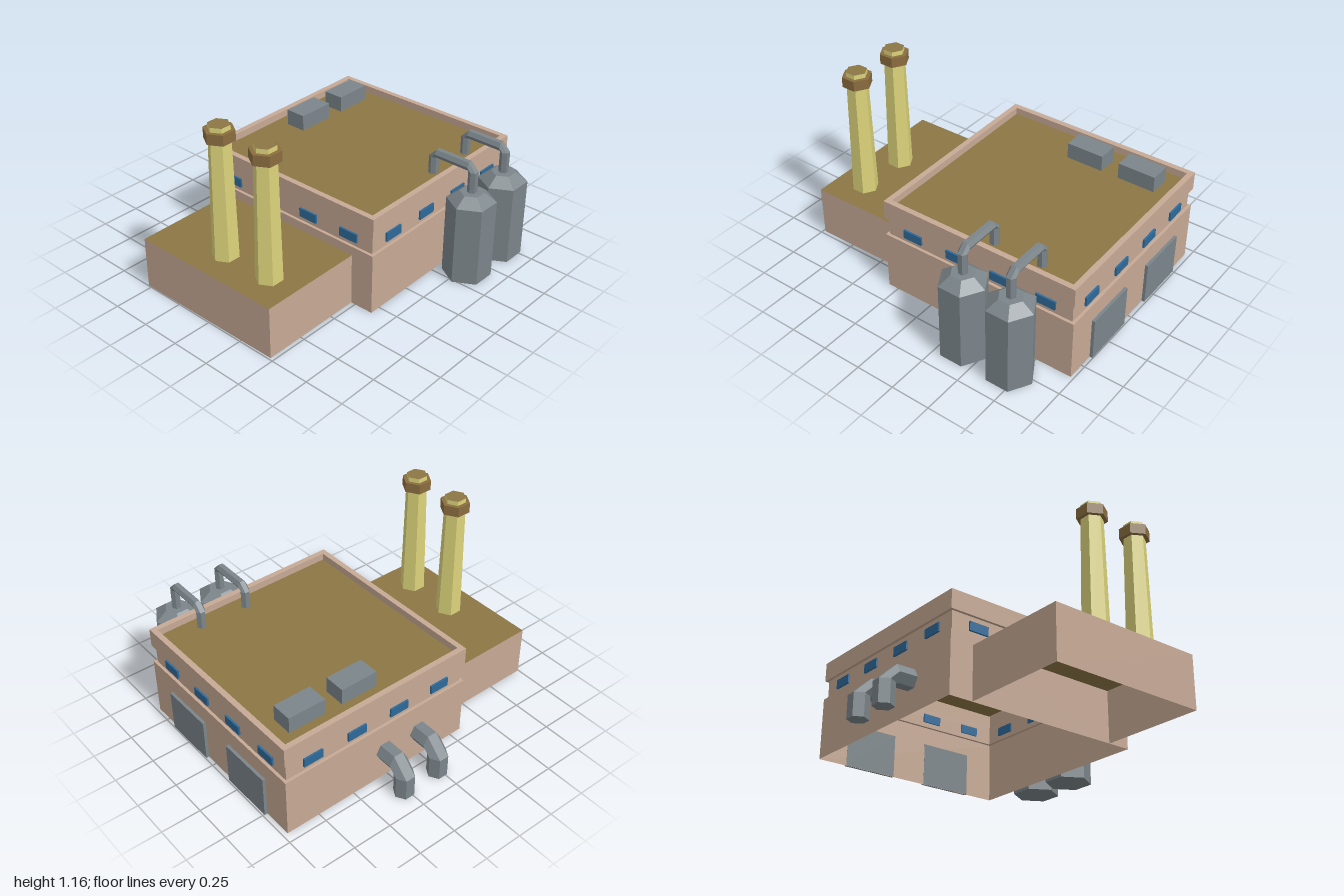
import * as THREE from 'three';

const mat = (color) => new THREE.MeshStandardMaterial({ color, flatShading: true, side: THREE.DoubleSide });
const WALL = mat(0xc6a995), ROOF = mat(0x8c7644), STEEL = mat(0x7b858a),
  GLASS = mat(0x2e6a9a), STACK = mat(0xdbd37a), BAND = mat(0x8a6d3f);

function add(parent, name, geometry, material, x = 0, y = 0, z = 0) {
  const mesh = new THREE.Mesh(geometry, material);
  mesh.name = name;
  mesh.position.set(x, y, z);
  parent.add(mesh);
  return mesh;
}

// Horizontal sheet facing up
const sheet = (w, d) => new THREE.PlaneGeometry(w, d).rotateX(-Math.PI / 2);

// Hexagonal pipe in the xy plane; each ring is [x, y, direction angle]
function hexPipe(rings, r) {
  const pos = [], index = [];
  for (const [x, y, a] of rings) {
    for (let i = 0; i < 6; i++) {
      const n = r * Math.sin(i * Math.PI / 3);
      pos.push(x - Math.sin(a) * n, y + Math.cos(a) * n, r * Math.cos(i * Math.PI / 3));
    }
  }
  const last = (rings.length - 1) * 6;
  for (let k = 0; k < last; k += 6) {
    for (let i = 0; i < 6; i++) {
      const j = (i + 1) % 6;
      index.push(k + i, k + 6 + i, k + j, k + j, k + 6 + i, k + 6 + j);
    }
  }
  for (let i = 1; i < 5; i++) {
    index.push(0, i, i + 1, last, last + i + 1, last + i);
  }
  const g = new THREE.BufferGeometry();
  g.setAttribute('position', new THREE.Float32BufferAttribute(pos, 3));
  g.setIndex(index);
  const flat = g.toNonIndexed();
  flat.computeVertexNormals();
  return flat;
}

function createBuilding() {
  const g = new THREE.Group();
  g.name = 'building';

  // Main hall walls: square sweep with recessed window strip and parapet
  const profile = [[0.65, 0], [0.65, 0.385], [0.632, 0.385], [0.632, 0.505],
    [0.65, 0.505], [0.65, 0.625], [0.615, 0.625], [0.615, 0.58]]
    .map(([x, y]) => new THREE.Vector2(x * Math.SQRT2, y));
  const walls = new THREE.LatheGeometry(profile, 4).rotateY(Math.PI / 4).toNonIndexed();
  walls.computeVertexNormals();
  add(g, 'hallWalls', walls, WALL);
  add(g, 'hallRoof', sheet(1.23, 1.23), ROOF, 0, 0.58, 0);

  // Four windows on each side
  for (let side = 0; side < 4; side++) {
    const row = new THREE.Group();
    row.name = 'windowRow';
    row.rotation.y = side * Math.PI / 2;
    for (let i = 0; i < 4; i++) {
      add(row, 'window', new THREE.BoxGeometry(0.128, 0.056, 0.02), GLASS, (i - 1.5) * 0.305 + 0.004, 0.443, 0.634);
    }
    g.add(row);
  }

  // Loading doors at the back
  for (const x of [-0.29, 0.285]) {
    add(g, 'loadingDoor', new THREE.BoxGeometry(0.345, 0.27, 0.02), STEEL, x, 0.137, -0.659);
  }

  // Front annex, open underneath
  const front = 1.317, depth = front - 0.65, h = 0.328;
  add(g, 'annexFront', new THREE.PlaneGeometry(1, h), WALL, 0, h / 2, front);
  for (const s of [-1, 1]) {
    add(g, 'annexSide', new THREE.PlaneGeometry(depth, h), WALL, s * 0.5, h / 2, 0.65 + depth / 2)
      .rotation.y = s * Math.PI / 2;
  }
  add(g, 'annexRoof', sheet(1, depth), ROOF, 0, h, 0.65 + depth / 2);

  g.position.set(-0.035, 0, -0.325);
  g.rotation.y = 0.009;
  return g;
}

function createChimney(x, z) {
  const g = new THREE.Group();
  g.name = 'chimney';
  add(g, 'stack', new THREE.CylinderGeometry(0.065, 0.081, 0.834, 6, 1, true), STACK, 0, 0.745, 0);
  add(g, 'stackLid', new THREE.CircleGeometry(0.065, 6).rotateX(-Math.PI / 2).rotateY(Math.PI / 2), ROOF, 0, 1.162, 0);
  add(g, 'stackBand', new THREE.CylinderGeometry(0.091, 0.091, 0.064, 6), BAND, 0, 1.102, 0);
  g.position.set(x, 0, z);
  return g;
}

function createTank(z) {
  const g = new THREE.Group();
  g.name = 'storageTank';
  add(g, 'tankBody', new THREE.CylinderGeometry(0.147, 0.147, 0.505, 6), STEEL, 0.778, 0.2525, 0);
  add(g, 'tankShoulder', new THREE.CylinderGeometry(0.074, 0.147, 0.055, 6), STEEL, 0.778, 0.5325, 0);
  // Pipe from the tank over the parapet to the roof
  const up = Math.PI / 2;
  add(g, 'tankPipe', hexPipe([[0.778, 0.55, up], [0.778, 0.693, up], [0.752, 0.719, Math.PI],
    [0.522, 0.719, Math.PI], [0.496, 0.693, -up], [0.496, 0.58, -up]], 0.03), STEEL);
  g.position.z = z;
  return g;
}

export function createModel() {
  const model = new THREE.Group();
  model.name = 'factory';
  model.add(createBuilding());

  model.add(createChimney(-0.058, 0.793), createChimney(0.28, 0.788));
  model.add(createTank(-0.695), createTank(-0.378));

  // Outlet pipes on the right wall
  const up = Math.PI / 2;
  for (const z of [-0.273, -0.02]) {
    add(model, 'outletPipe', hexPipe([[-0.856, 0, up], [-0.856, 0.143, up],
      [-0.801, 0.197, 0], [-0.685, 0.197, 0]], 0.063), STEEL, 0, 0, z);
  }

  // Rooftop ventilation units
  for (const z of [-0.72, -0.363]) {
    add(model, 'roofUnit', new THREE.BoxGeometry(0.135, 0.102, 0.243), STEEL, -0.496, 0.631, z);
  }
  return model;
}
